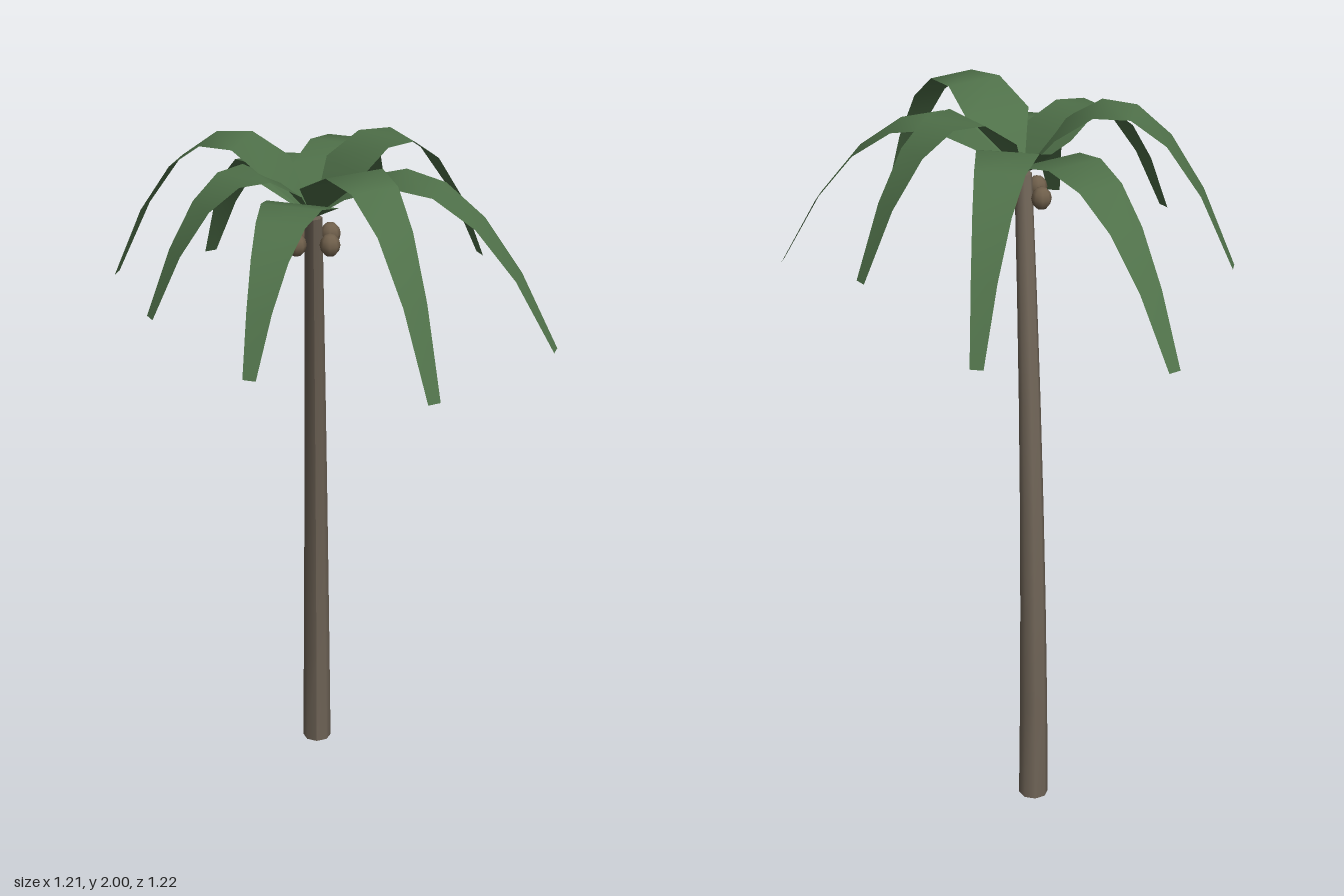
import * as THREE from 'three';

const bark = new THREE.MeshStandardMaterial({ color: 0x6e6356 });
const husk = new THREE.MeshStandardMaterial({ color: 0x6f5f4b });
const leaf = new THREE.MeshStandardMaterial({ color: 0x4f7049, side: THREE.DoubleSide });

const crown = new THREE.Vector3(-0.05, 1.8, 0.012);

// Tapered trunk, bent forward along a parabola
function trunkGeometry() {
  const g = new THREE.CylinderGeometry(0.024, 0.042, 1.8, 8, 6);
  g.translate(0, 0.9, 0);
  const p = g.attributes.position;
  for (let i = 0; i < p.count; i++) {
    const s = p.getY(i) / 1.8;
    p.setZ(i, p.getZ(i) - 0.27 + 0.282 * s * s);
  }
  g.computeVertexNormals();
  return g;
}

// Arched blade: starts at a point, widens at once, then tapers to a blunt tip
function frondGeometry(reach, drop, peak) {
  const segments = 6;
  const h = peak + Math.sqrt(peak * peak - peak * drop); // control height giving this peak
  const arch = new THREE.QuadraticBezierCurve(
    new THREE.Vector2(0, 0),
    new THREE.Vector2(reach * 0.53, h),
    new THREE.Vector2(reach, drop));
  const g = new THREE.PlaneGeometry(1, 1, 1, segments);
  const p = g.attributes.position;
  for (let i = 0; i < p.count; i++) {
    const t = 0.5 - p.getY(i);
    const c = arch.getPoint(t);
    const first = 1 / segments;
    const half = t < 0.01 ? 0.003 : THREE.MathUtils.mapLinear(t, first, 1, 0.1, 0.018);
    p.setXYZ(i, Math.sign(p.getX(i)) * half, c.y, c.x);
  }
  g.computeVertexNormals();
  return g;
}

export function createModel() {
  const group = new THREE.Group();
  group.name = 'palmTree';

  const trunk = new THREE.Mesh(trunkGeometry(), bark);
  trunk.name = 'trunk';
  trunk.position.x = crown.x;
  group.add(trunk);

  // Fronds: tip x, tip y, tip z, highest y
  const fronds = [
    [0.265, 1.52, 0.6, 2.0], [-0.205, 1.55, 0.528, 1.895],
    [-0.478, 1.6, 0.237, 1.955], [-0.6, 1.57, -0.16, 2.0],
    [-0.365, 1.47, -0.592, 1.895], [0.145, 1.51, -0.605, 1.94],
    [0.41, 1.605, -0.23, 2.0], [0.597, 1.5, 0.21, 1.935],
  ];
  fronds.forEach(([x, y, z, top], i) => {
    const dx = x - crown.x, dz = z - crown.z;
    const frond = new THREE.Mesh(
      frondGeometry(Math.hypot(dx, dz), y - crown.y, top - crown.y), leaf);
    frond.name = `frond${i + 1}`;
    frond.position.copy(crown);
    frond.rotation.y = Math.atan2(dx, dz);
    group.add(frond);
  });

  // Four coconuts around the top of the trunk
  const nut = new THREE.SphereGeometry(0.028, 8, 6).scale(1, 1.15, 1);
  for (const sx of [-1, 1]) for (const sz of [-1, 1]) {
    const coconut = new THREE.Mesh(nut, husk);
    coconut.name = 'coconut';
    coconut.position.set(crown.x + sx * 0.045, 1.74, 0.018 + sz * 0.044);
    group.add(coconut);
  }
  return group;
}
